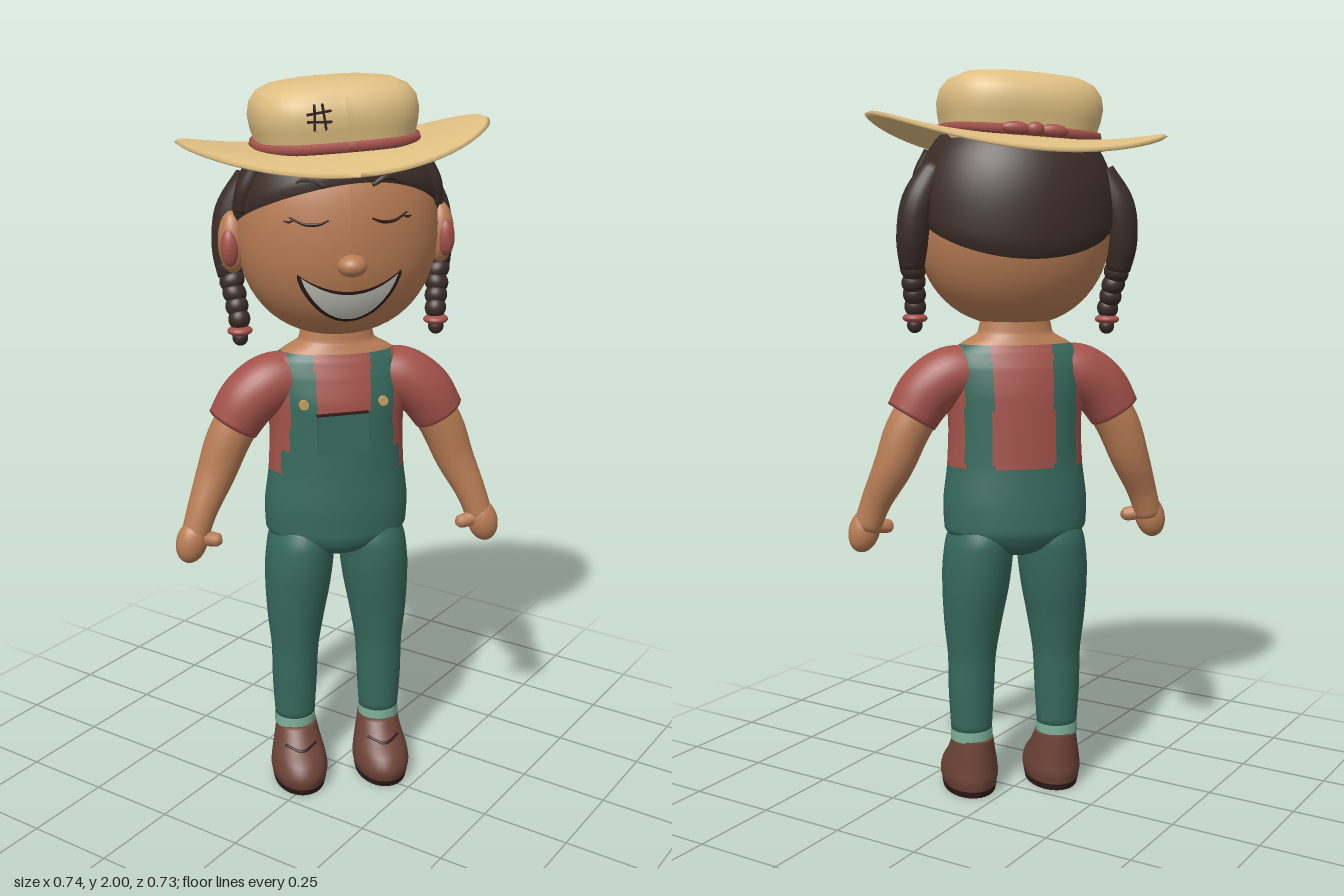
import * as THREE from 'three';

const V = (x, y, z) => new THREE.Vector3(x, y, z);
const mat = (name, color, side = THREE.FrontSide) => {
  const m = new THREE.MeshStandardMaterial({ color, side });
  m.name = name;
  return m;
};

// Grid surface from a point rule f(u, v); wraps round u, optional rule picks a material index per quad
function surface(f, nu, nv, wrap = true, rule = null) {
  const cols = wrap ? nu : nu + 1, pos = [], sets = [[], [], []];
  for (let i = 0; i <= nv; i++)
    for (let j = 0; j < cols; j++) pos.push(...f(j / nu, i / nv).toArray());
  for (let i = 0; i < nv; i++)
    for (let j = 0; j < nu; j++) {
      const k = (j + 1) % cols, a = i * cols + j, b = i * cols + k, c = a + cols, d = b + cols;
      const avg = n => (pos[a * 3 + n] + pos[b * 3 + n] + pos[c * 3 + n] + pos[d * 3 + n]) / 4;
      sets[rule ? rule(avg(0), avg(1), avg(2)) : 0].push(a, c, b, b, c, d);
    }
  const geo = new THREE.BufferGeometry();
  geo.setAttribute('position', new THREE.Float32BufferAttribute(pos, 3));
  geo.setIndex(sets.flat());
  if (rule) {
    let start = 0;
    sets.forEach((s, n) => { geo.addGroup(start, s.length, n); start += s.length; });
  }
  geo.computeVertexNormals();
  return geo;
}

// Upright loft through elliptical sections [y, cx, cz, rx, rz]
function loft(rings, nu = 32, nv = 28, rule = null) {
  const mid = new THREE.CatmullRomCurve3(rings.map(r => V(r[1], r[0], r[2])));
  const rad = new THREE.CatmullRomCurve3(rings.map(r => V(r[3], 0, r[4])));
  return surface((u, v) => {
    const t = THREE.MathUtils.clamp((v * nv - 1) / (nv - 2), 0, 1), a = u * Math.PI * 2;
    const c = mid.getPoint(t), r = rad.getPoint(t), k = v === 0 || v === 1 ? 0 : 1;
    return V(c.x + k * r.x * Math.cos(a), c.y, c.z + k * r.z * Math.sin(a));
  }, nu, nv, true, rule);
}

// Round limb swept through [x, y, z, radius]
function sweep(pts, nu = 20, nv = 24) {
  const path = new THREE.CatmullRomCurve3(pts.map(p => V(p[0], p[1], p[2])));
  const rad = new THREE.CatmullRomCurve3(pts.map((p, i) => V(p[3], i, 0)));
  const fr = path.computeFrenetFrames(nv, false);
  return surface((u, v) => {
    const i = Math.round(v * nv), a = u * Math.PI * 2;
    const t = THREE.MathUtils.clamp((i - 1) / (nv - 2), 0, 1);
    const r = i === 0 || i === nv ? 0 : rad.getPoint(t).x;
    return path.getPoint(t).addScaledVector(fr.normals[i], r * Math.cos(a))
      .addScaledVector(fr.binormals[i], -r * Math.sin(a));
  }, nu, nv);
}

const ball = (rx, ry, rz) => new THREE.SphereGeometry(1, 32, 24).scale(rx, ry, rz);

// Lathe flattened in z, then reshaped by an optional rule on each vertex
function lathe(pts, zs, reshape = () => {}) {
  const geo = new THREE.LatheGeometry(pts.map(p => new THREE.Vector2(p[0], p[1])), 64);
  const p = geo.attributes.position, v = V(0, 0, 0);
  for (let i = 0; i < p.count; i++) {
    reshape(v.fromBufferAttribute(p, i));
    p.setXYZ(i, v.x, v.y, v.z * zs);
  }
  geo.computeVertexNormals();
  return geo;
}

export function createModel() {
  const root = new THREE.Group();
  const figure = new THREE.Group();
  figure.name = 'figure';
  figure.rotation.y = Math.PI / 4;
  root.add(figure);

  const skin = mat('skin', 0xb97d55), straw = mat('straw', 0xdfbf82), hair = mat('hair', 0x3b2d27, THREE.DoubleSide);
  const red = mat('red cloth', 0xa3524a), green = mat('green denim', 0x376a5d), cuff = mat('pale cuff', 0x7fb09a);
  const leather = mat('leather', 0x6d4337), teeth = mat('teeth', 0xc9c9c0), brass = mat('brass', 0xc9a25c);
  const dark = mat('dark line', 0x2e1b18);
  const add = (parent, name, geo, m, x = 0, y = 0, z = 0) => {
    const mesh = new THREE.Mesh(geo, m);
    mesh.name = name;
    mesh.position.set(x, y, z);
    parent.add(mesh);
    return mesh;
  };

  // Torso: dungarees with bib and straps, shirt and bare neck
  const clothing = (x, y, z) => {
    const ax = Math.abs(x);
    if (y > 1.281) return 2;
    if (y < 0.95) return 0;
    if (z < 0) return ax > 0.085 && ax < 0.155 ? 0 : 1;
    if (y < 1.13) return ax < (y < 1.02 ? 0.165 : 0.142) ? 0 : 1;
    return ax > 0.077 && ax < 0.142 ? 0 : 1;
  };
  add(figure, 'torso', loft([
    [0.7, 0, -0.01, 0.05, 0.06], [0.715, 0, -0.01, 0.1, 0.095], [0.74, 0, -0.01, 0.165, 0.12],
    [0.775, 0, -0.012, 0.199, 0.132], [0.84, 0, -0.01, 0.202, 0.132], [0.95, 0, -0.008, 0.19, 0.125],
    [1.05, 0, -0.008, 0.186, 0.122], [1.15, 0, -0.008, 0.192, 0.118], [1.22, 0, -0.01, 0.195, 0.104],
    [1.262, 0, -0.01, 0.178, 0.09], [1.287, 0, -0.01, 0.145, 0.08], [1.312, 0, -0.01, 0.104, 0.072],
    [1.42, 0, -0.01, 0.085, 0.062],
  ], 128, 110, clothing), [green, red, skin]);
  const pocket = add(figure, 'bibPocket', new THREE.BoxGeometry(0.138, 0.108, 0.012), green, -0.008, 1.08, 0.128);
  pocket.rotation.z = 0.03;
  add(pocket, 'pocketHem', new THREE.BoxGeometry(0.14, 0.004, 0.014), dark, 0, 0.054, 0);

  for (const s of [-1, 1]) {
    const side = s > 0 ? 'left' : 'right';
    add(figure, side + 'Button', new THREE.CylinderGeometry(0.013, 0.013, 0.012, 20).rotateX(Math.PI / 2),
      brass, s * 0.108 - 0.004, 1.16, 0.113);

    // Sleeve, arm and hand
    add(figure, side + 'Sleeve', sweep([[s * 0.1, 1.208, -0.01, 0.068], [s * 0.18, 1.196, -0.005, 0.08],
      [s * 0.245, 1.15, 0, 0.08], [s * 0.288, 1.085, 0, 0.073]], 32), red);
    add(figure, side + 'Arm', sweep([[s * 0.23, 1.16, 0, 0.06], [s * 0.298, 1.05, 0, 0.061], [s * 0.338, 0.95, 0.005, 0.054],
      [s * 0.383, 0.85, 0.03, 0.042], [s * 0.408, 0.775, 0.042, 0.038]], 28), skin);
    add(figure, side + 'Hand', ball(0.043, 0.062, 0.04), skin, s * 0.415, 0.767, 0.045).rotation.z = s * 0.25;
    add(figure, side + 'Thumb', sweep([[s * 0.4, 0.785, 0.05, 0.022], [s * 0.365, 0.775, 0.055, 0.021],
      [s * 0.342, 0.772, 0.06, 0.018], [s * 0.333, 0.772, 0.061, 0.009]], 14, 14), skin);

    // Trouser leg, cuff and shoe
    add(figure, side + 'Leg', loft([[0.18, s * 0.125, 0, 0.057, 0.055], [0.3, s * 0.125, 0, 0.064, 0.064],
      [0.4, s * 0.123, 0, 0.067, 0.07], [0.5, s * 0.12, -0.002, 0.08, 0.087], [0.6, s * 0.113, -0.005, 0.092, 0.107],
      [0.67, s * 0.108, -0.006, 0.096, 0.117], [0.73, s * 0.102, -0.008, 0.095, 0.12],
      [0.78, s * 0.095, -0.01, 0.086, 0.108], [0.82, s * 0.09, -0.01, 0.06, 0.08]], 36, 36), green);
    add(figure, side + 'Cuff', new THREE.CylinderGeometry(0.059, 0.059, 0.03, 32), cuff, s * 0.125, 0.176, 0);
    const shoe = new THREE.Group();
    shoe.name = side + 'Shoe';
    shoe.position.set(s * 0.122, 0, 0);
    figure.add(shoe);
    add(shoe, 'sole', new THREE.CylinderGeometry(1.05, 1, 0.018, 40).scale(0.073, 1, 0.11), dark, 0, 0.009, 0.05);
    add(shoe, 'upper', loft([[0.014, 0, 0.05, 0.074, 0.112], [0.045, 0, 0.05, 0.081, 0.118], [0.08, 0, 0.042, 0.077, 0.108],
      [0.12, 0, 0.018, 0.067, 0.082], [0.165, 0, 0, 0.058, 0.061]], 36, 24), leather);
    add(shoe, 'lace', sweep([[-0.045, 0.123, 0.078, 0.004], [0, 0.111, 0.108, 0.005],
      [0.045, 0.123, 0.078, 0.004]], 8, 14), dark);
  }

  // Head: a rounded, slightly boxy oval
  const head = new THREE.Group();
  head.name = 'head';
  head.position.y = 1.615;
  head.rotation.set(0, -0.03, 0.02);
  figure.add(head);
  const R = V(0.268, 0.287, 0.214);
  const girth = y => Math.pow(Math.max(0, 1 - Math.abs(y / R.y) ** 2.25), 1 / 2.25);
  const profile = Array.from({ length: 33 }, (_, i) => {
    const y = -R.y * Math.cos(i / 32 * Math.PI);
    return [R.x * girth(y), y];
  });
  add(head, 'face', lathe(profile, R.z / R.x), skin);
  const onFace = (x, y, lift = 0) => V(x, y, lift + R.z * Math.sqrt(Math.max(0, girth(y) ** 2 - (x / R.x) ** 2)));
  add(head, 'nose', ball(0.038, 0.028, 0.036), skin, 0, -0.065, 0.222);

  // Smile: crescent of teeth over a slightly larger dark lip
  const smile = (grow, lift) => surface((u, v) => {
    const k = 1 - 2 * u, x = k * (0.128 + grow), bow = 1 - k * k;
    const low = -0.095 - 0.122 * Math.pow(bow, 0.8) - grow, high = -0.095 - 0.048 * bow + grow;
    return onFace(x, THREE.MathUtils.lerp(low, high, v), lift);
  }, 28, 8, false);
  add(head, 'lips', smile(0.007, 0.003), dark);
  add(head, 'teeth', smile(-0.001, 0.006), teeth);

  // Hair cap with a low nape and a rising fringe
  add(head, 'hairCap', surface((u, v) => {
    const a = u * Math.PI * 2, d = Math.sin(a);
    const line = 0.017 + 0.118 * d + 0.02 * Math.max(0, d) * Math.cos(a);
    const y = R.y * Math.sin(THREE.MathUtils.lerp(Math.asin(line / R.y), Math.PI / 2, v));
    const k = v === 0 ? 1 : 1.035;
    return V(R.x * k * girth(y) * Math.cos(a), k * y, R.z * k * girth(y) * d);
  }, 64, 20), hair);

  for (const s of [-1, 1]) {
    const side = s > 0 ? 'left' : 'right';
    // Closed eye and brow
    const arc = (name, pts, r, m) => add(head, side + name, sweep(pts.map(([x, y], i) => {
      const p = onFace(s * x, y, 0.002);
      return [p.x, p.y, p.z, i === 0 || i === pts.length - 1 ? r * 0.5 : r];
    }), 8, 16), m);
    arc('Eyelid', [[0.055, 0.05], [0.08, 0.04], [0.115, 0.04], [0.15, 0.057]], 0.004, dark);
    arc('Lash', [[0.14, 0.049], [0.152, 0.045], [0.163, 0.047]], 0.003, dark);
    arc('Brow', [[0.06, 0.13], [0.1, 0.147], [0.15, 0.127]], 0.01, hair);

    // Ear with red inner shell
    add(head, side + 'Ear', ball(0.038, 0.082, 0.042), skin, s * 0.278, -0.03, 0.0);
    add(head, side + 'EarInner', ball(0.024, 0.05, 0.022), red, s * 0.288, -0.04, 0.028);

    // Side lock and plait
    add(head, side + 'SideLock', sweep([[s * 0.215, 0.17, 0.065, 0.026], [s * 0.245, 0.11, 0.065, 0.024],
      [s * 0.258, 0.055, 0.06, 0.014]], 12, 16), hair);
    add(head, side + 'Bunch', sweep([[s * 0.225, 0.13, -0.055, 0.035], [s * 0.27, 0.04, -0.065, 0.046],
      [s * 0.285, -0.06, -0.06, 0.043], [s * 0.283, -0.13, -0.045, 0.033]], 20, 20), hair);
    for (let i = 0; i < 5; i++) {
      const strand = add(head, side + 'Plait', ball(0.037 - i * 0.002, 0.03, 0.036 - i * 0.002), hair,
        s * (0.284 - i * 0.004), -0.105 - i * 0.033, -0.047 + i * 0.011);
      strand.rotation.z = i % 2 ? 0.5 : -0.5;
    }
    add(head, side + 'HairTie', ball(0.034, 0.014, 0.034), red, s * 0.268, -0.268, 0.0);
    add(head, side + 'PlaitTip', ball(0.021, 0.022, 0.021), hair, s * 0.268, -0.287, 0.002);
  }

  // Straw hat, worn tilted: brim curls up at both sides, crown is a rounded square
  const hat = new THREE.Group();
  hat.name = 'hat';
  hat.position.set(-0.006, 1.8, 0);
  hat.rotation.z = 0.06;
  figure.add(hat);
  add(hat, 'brim', lathe([[0.17, 0.018], [0.25, 0.018], [0.33, 0.018], [0.4, 0.018], [0.41, 0.024],
    [0.4, 0.031], [0.33, 0.031], [0.25, 0.031], [0.17, 0.031]], 0.775, v => {
    const r = Math.hypot(v.x, v.z), t = Math.max(0, (r - 0.2) / 0.2);
    v.y += t * (-0.037 + 0.075 * (v.x / r) ** 2);
  }), straw);
  const square = v => {
    const r = Math.hypot(v.x, v.z) || 1;
    const k = Math.pow(Math.abs(v.x / r) ** 3 + Math.abs(v.z / r) ** 3, -1 / 3) || 1;
    if (Number.isFinite(k)) { v.x *= k; v.z *= k; }
  };
  add(hat, 'crown', lathe([[0.2, 0.012], [0.204, 0.05], [0.212, 0.08], [0.216, 0.112], [0.21, 0.145], [0.191, 0.171],
    [0.158, 0.187], [0.095, 0.196], [0.0001, 0.199]], 0.87, square), straw);
  add(hat, 'band', lathe([[0.195, 0.026], [0.211, 0.026], [0.217, 0.037], [0.214, 0.05], [0.195, 0.052]], 0.88, square), red);
  add(hat, 'bandKnot', ball(0.024, 0.018, 0.016), red, 0, 0.042, -0.195);
  for (const s of [-1, 1])
    add(hat, 'bandBow', ball(0.038, 0.017, 0.015), red, s * 0.05, 0.041, -0.192);

  // Crossed mending stitches
  const patch = new THREE.Group();
  patch.name = 'mending';
  patch.position.set(-0.068, 0.116, 0.183);
  patch.rotation.set(0, -0.06, 0.03);
  hat.add(patch);
  for (const s of [-1, 1]) {
    add(patch, 'stitch', new THREE.BoxGeometry(0.062, 0.006, 0.009), dark, 0, s * 0.011, 0).rotation.z = s * 0.08;
    add(patch, 'stitch', new THREE.BoxGeometry(0.006, 0.064, 0.009), dark, s * 0.012, 0, 0).rotation.z = s * 0.07;
  }
  return root;
}
